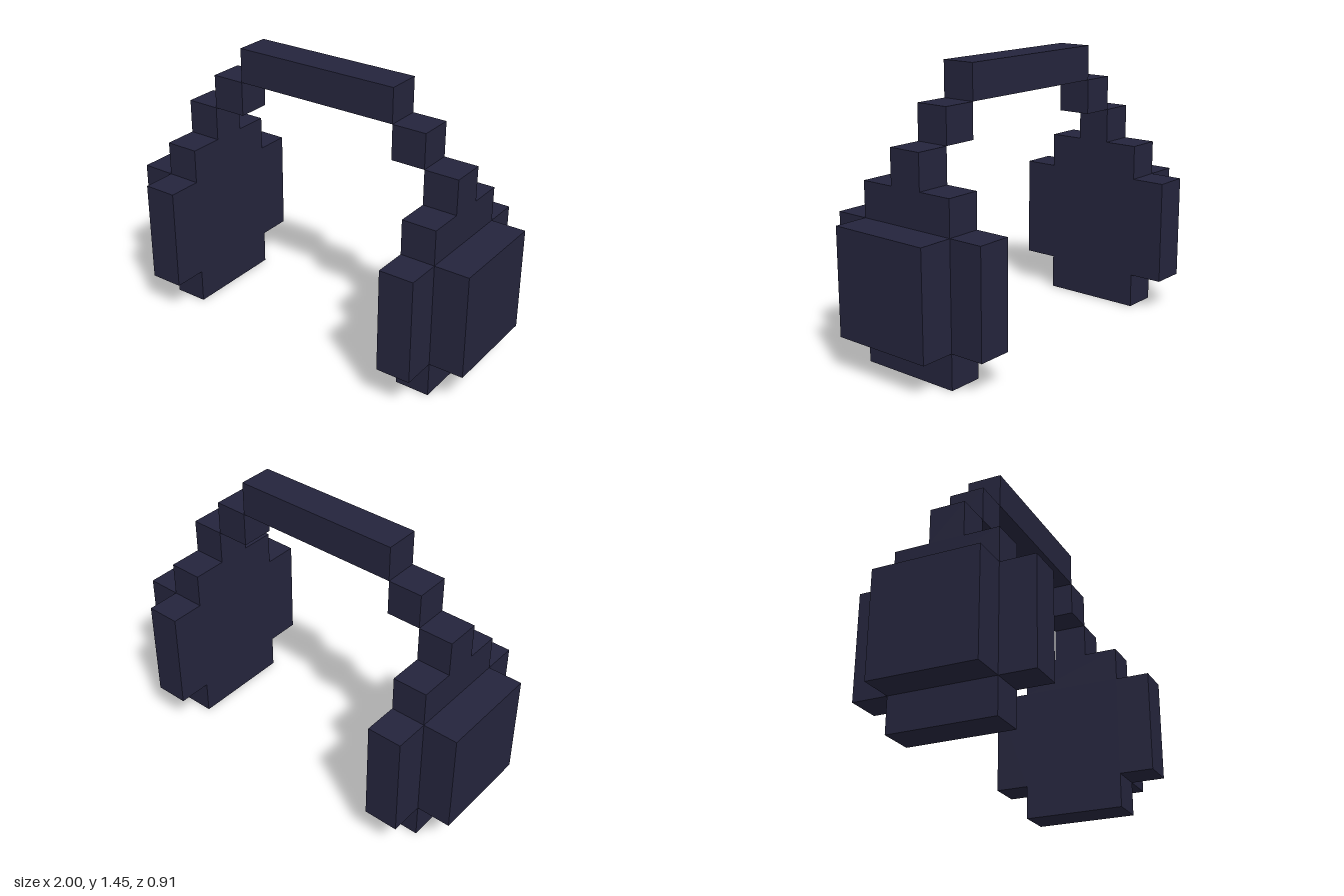
import * as THREE from 'three';

const U = 2 / 11; // one block

export function createModel() {
  const group = new THREE.Group();
  group.name = 'headphones';
  const navy = new THREE.MeshStandardMaterial({ color: 0x24243c });
  navy.name = 'dark navy';

  const add = (name, geometry, parent) => {
    const mesh = new THREE.Mesh(geometry, navy);
    mesh.name = name;
    parent.add(mesh);
    return mesh;
  };
  // box given by its size and centre, in blocks
  const block = (name, parent, [w, h, d], [x, y, z]) =>
    add(name, new THREE.BoxGeometry(w * U, h * U, d * U), parent).position.set(x * U, y * U, z * U);

  // stepped round ear pad outline, extruded along x
  const outline = [
    [-1.5, 0], [1.5, 0], [1.5, 1], [2.5, 1], [2.5, 4], [1.5, 4],
    [1.5, 5], [-1.5, 5], [-1.5, 4], [-2.5, 4], [-2.5, 1], [-1.5, 1],
  ].map(([z, y]) => new THREE.Vector2(z * U, y * U));
  const padGeometry = new THREE.ExtrudeGeometry(new THREE.Shape(outline), { depth: U, bevelEnabled: false });
  padGeometry.translate(0, 0, -U / 2).rotateY(Math.PI / 2);

  // top of the headband
  block('headbandTop', group, [5, 1, 1], [0, 7.5, 0]);

  // ear cups and the steps leading up to the band
  for (const [side, s] of [['left', 1], ['right', -1]]) {
    const ear = new THREE.Group();
    ear.name = side + 'Ear';
    group.add(ear);
    add(side + 'EarPad', padGeometry, ear).position.x = s * 4 * U;
    block(side + 'EarCup', ear, [1, 3, 3], [s * 5, 2.5, 0]);
    block(side + 'BandPost', ear, [1, 1, 1], [s * 4, 5.5, 0]);
    block(side + 'BandStep', ear, [1, 1, 1], [s * 3, 6.5, 0]);
  }
  return group;
}
